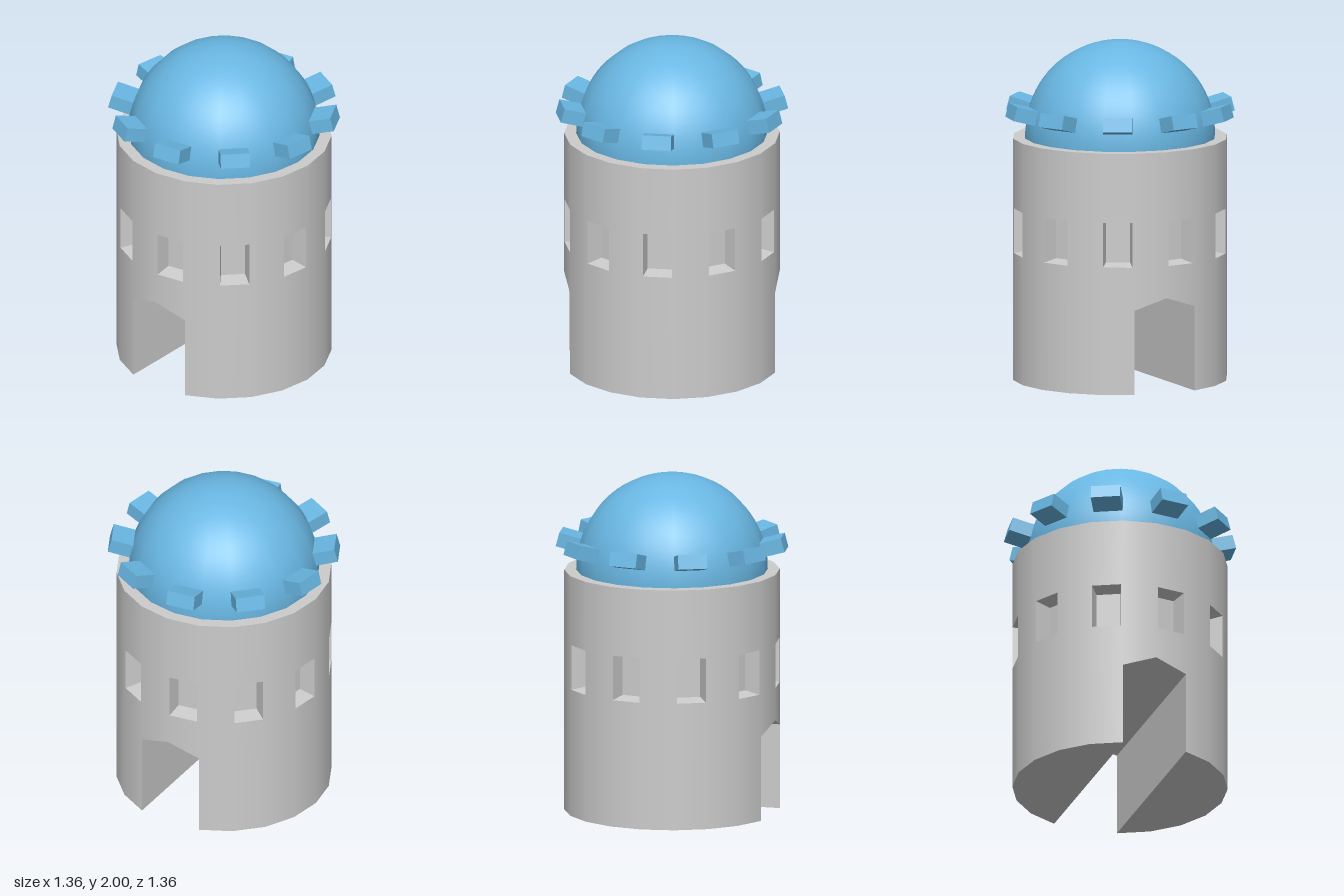
import * as THREE from 'three';
import { mergeGeometries } from 'three/addons/utils/BufferGeometryUtils.js';

const SIDES = 20, STEP = (Math.PI * 2) / SIDES;
const R = 0.63, WALL_TOP = 1.43;
const HALF = R * Math.sin(STEP / 2);      // half width of one facet
const APOTHEM = R * Math.cos(STEP / 2);
const DOOR_X = R * Math.sin(STEP), DOOR_Z = R * Math.cos(STEP);
const SPRING = 0.5, PEAK = 0.565;         // passage roof heights

// Flat-shaded quads, corners counter-clockwise from the visible side
function quads(list) {
  const pos = [];
  for (const [a, b, c, d] of list) pos.push(...a, ...b, ...c, ...a, ...c, ...d);
  const g = new THREE.BufferGeometry();
  g.setAttribute('position', new THREE.Float32BufferAttribute(pos, 3));
  g.computeVertexNormals();
  return g;
}

// Window opening in facet coordinates
const WIN = { w: 0.086, y0: 0.755, y1: 1.02, depth: 0.1, taper: 0.015 };

// One wall facet, with optional window hole and smooth round normals
function facet(k) {
  const mid = (k + 0.5) * STEP;
  const door = { 0: [PEAK, SPRING], 9: [SPRING, PEAK], 10: [PEAK, SPRING], 19: [SPRING, PEAK] }[k] || [0, 0];
  const s = new THREE.Shape([
    new THREE.Vector2(-HALF, door[0]), new THREE.Vector2(HALF, door[1]),
    new THREE.Vector2(HALF, WALL_TOP), new THREE.Vector2(-HALF, WALL_TOP)]);
  if (k % 2 === 0) {
    const { w, y0, y1 } = WIN;
    s.holes.push(new THREE.Path([
      new THREE.Vector2(-w, y0), new THREE.Vector2(-w, y1),
      new THREE.Vector2(w, y1), new THREE.Vector2(w, y0)]));
  }
  const g = new THREE.ShapeGeometry(s);
  const p = g.attributes.position, n = g.attributes.normal;
  for (let i = 0; i < p.count; i++) {
    const a = (p.getX(i) / HALF) * STEP / 2;
    n.setXYZ(i, Math.sin(a), 0, Math.cos(a));
  }
  return g.translate(0, 0, APOTHEM).rotateY(mid);
}

// Tapered window recess, seen from the outside
function recess() {
  const { w, y0, y1, depth, taper: t } = WIN;
  const z = APOTHEM, b = z - depth;
  const o = [[-w, y0, z], [w, y0, z], [w, y1, z], [-w, y1, z]];
  const i = [[-w + t, y0 + t, b], [w - t, y0 + t, b], [w - t, y1 - t, b], [-w + t, y1 - t, b]];
  const list = [i];
  for (let k = 0; k < 4; k++) {
    const m = (k + 1) % 4;
    list.push([o[k], o[m], i[m], i[k]]);
  }
  return quads(list);
}

// Gabled passage running through the tower
function passage() {
  const x = DOOR_X, z = DOOR_Z;
  return quads([
    [[-x, 0, z], [-x, 0, -z], [-x, SPRING, -z], [-x, SPRING, z]],
    [[x, 0, -z], [x, 0, z], [x, SPRING, z], [x, SPRING, -z]],
    [[-x, SPRING, z], [-x, SPRING, -z], [0, PEAK, -R], [0, PEAK, R]],
    [[x, SPRING, -z], [x, SPRING, z], [0, PEAK, R], [0, PEAK, -R]],
  ]);
}

// Underside of the wall on one side of the passage
function foot(turn) {
  const pts = [];
  for (let k = 1; k <= 9; k++) {
    const a = k * STEP;
    pts.push(new THREE.Vector2(R * Math.sin(a), R * Math.cos(a)));
  }
  return new THREE.ShapeGeometry(new THREE.Shape(pts)).rotateX(Math.PI / 2).rotateY(turn);
}

export function createModel() {
  const model = new THREE.Group();
  const stone = new THREE.MeshStandardMaterial({ color: 0xcccccc });
  const blue = new THREE.MeshStandardMaterial({ color: 0x69b7e3 });
  const add = (name, geo, mat, parent = model) => {
    const m = new THREE.Mesh(geo, mat);
    m.name = name;
    parent.add(m);
    return m;
  };

  // Tower body
  add('towerWall', mergeGeometries(Array.from({ length: SIDES }, (_, k) => facet(k))), stone);
  add('wallTop', new THREE.RingGeometry(0.5, R, SIDES).rotateX(-Math.PI / 2).translate(0, WALL_TOP, 0), stone);
  add('wallFoot', mergeGeometries([foot(0), foot(Math.PI)]), stone);
  add('passage', passage(), stone);

  // Dome
  const dome = new THREE.SphereGeometry(0.56, SIDES, 20, 0, Math.PI * 2, 0, Math.PI / 2 + 0.02);
  add('dome', dome.translate(0, 1.44, 0), blue);

  // Window recesses and the tilted blocks around the dome
  const windows = new THREE.Group(), blocks = new THREE.Group();
  windows.name = 'windows';
  blocks.name = 'domeBlocks';
  model.add(windows, blocks);
  const windowGeo = recess();
  const blockGeo = new THREE.BoxGeometry(0.172, 0.085, 0.15)
    .rotateX(-Math.PI / 12).translate(0, 1.587, 0.5915);
  for (let k = 0; k < SIDES; k += 2) {
    const turn = (k + 0.5) * STEP;
    add('windowRecess', windowGeo, stone, windows).rotation.y = turn;
    add('domeBlock', blockGeo, blue, blocks).rotation.y = turn;
  }
  return model;
}
